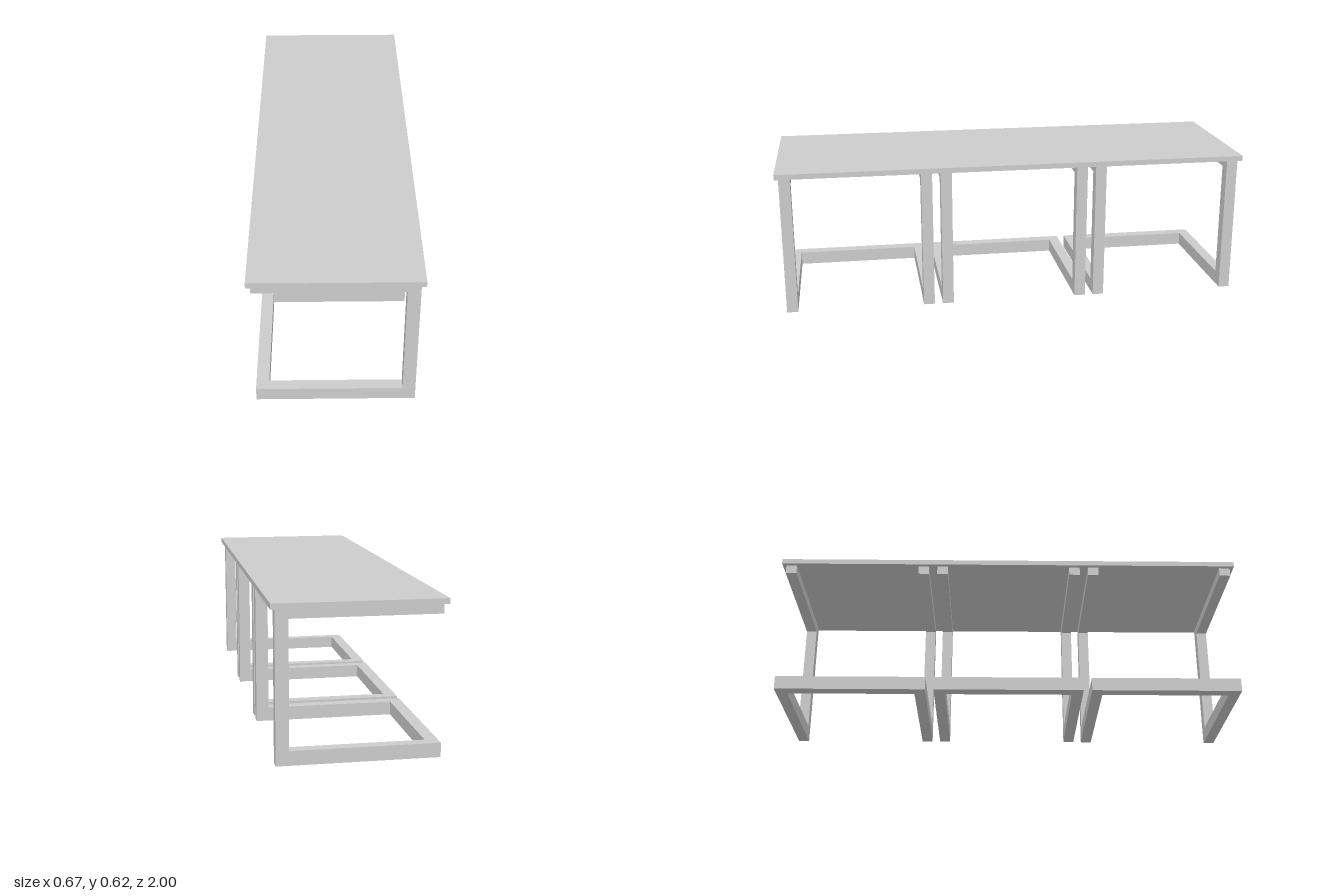
import * as THREE from 'three';

export function createModel() {
  const group = new THREE.Group();
  const material = new THREE.MeshStandardMaterial({ color: 0xcccccc, flatShading: true });

  const half = 0.316;       // half width of a square frame
  const bar = 0.047;        // side thickness along z
  const post = 0.051;       // post depth along x
  const rail = 0.057;       // height of the base rails
  const under = 0.593;      // underside of the top
  const armBottom = 0.555;  // underside of the upper arms

  const add = (parent, geometry, name, x, y, z) => {
    const mesh = new THREE.Mesh(geometry, material);
    mesh.name = name;
    mesh.position.set(x, y, z);
    parent.add(mesh);
  };

  // Table top
  add(group, new THREE.BoxGeometry(0.666, 0.022, 2), 'tableTop', 0, 0.604, 0);

  // C-shaped side: base rail, post and upper arm in one outline
  const outline = new THREE.Shape([
    [-half, 0], [half, 0], [half, under], [-half, under],
    [-half, armBottom], [half - post, armBottom], [half - post, rail], [-half, rail],
  ].map(([x, y]) => new THREE.Vector2(x, y)));
  const side = new THREE.ExtrudeGeometry(outline, { depth: bar, bevelEnabled: false });
  const crossRail = new THREE.BoxGeometry(post, rail, 2 * (half - bar));

  // Three cantilever frames in a row, each closed by a floor rail
  for (const z of [0.668, 0, -0.668]) {
    const frame = new THREE.Group();
    frame.name = 'legFrame';
    frame.position.z = z;
    add(frame, side, 'frontSide', 0, 0, half - bar);
    add(frame, side, 'backSide', 0, 0, -half);
    add(frame, crossRail, 'floorRail', -half + post / 2, rail / 2, 0);
    group.add(frame);
  }
  return group;
}
